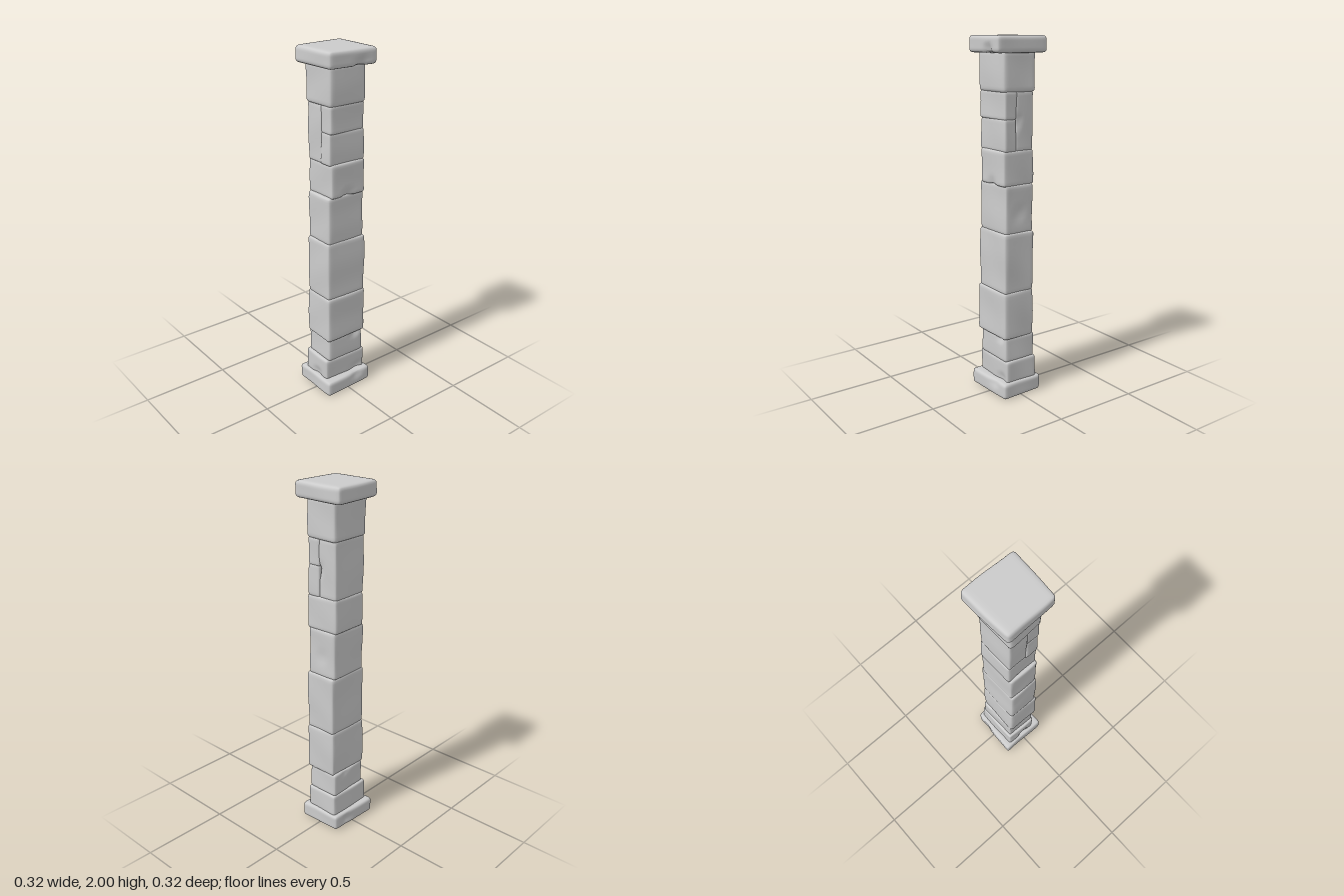
import * as THREE from 'three';
import { mergeVertices } from 'three/addons/utils/BufferGeometryUtils.js';

// Small seeded generator for the hand-cut irregularity
function seeded(seed) {
  let s = seed * 7919 + 13;
  return () => ((s = (s * 16807) % 2147483647) / 2147483647) * 2 - 1;
}

// Worn stone: rounded box, corners shifted in plan, gently uneven faces, optional chips.
// x, y, z are [min, max]; corners are [dx, dz] for -x-z, +x-z, +x+z, -x+z; chips are [x, y, z, radius, depth].
function stoneGeometry({ x, y, z, r = 0.016, corners, chips = [], rough = 0.003 }, seed) {
  const rnd = seeded(seed);
  for (let i = 0; i < 5; i++) rnd();
  const lo = new THREE.Vector3(x[0], y[0], z[0]);
  const hi = new THREE.Vector3(x[1], y[1], z[1]);
  const centre = lo.clone().add(hi).multiplyScalar(0.5);
  const half = hi.clone().sub(lo).multiplyScalar(0.5);
  const inner = half.clone().subScalar(r);
  const shift = corners || [0, 1, 2, 3].map(() => [rnd() * 0.004, rnd() * 0.004]);
  const phase = [0, 1, 2].map(() => rnd() * 3);

  let geo = new THREE.BoxGeometry(2, 2, 2, 16, 16, 16);
  geo.deleteAttribute('normal');
  geo.deleteAttribute('uv');
  geo = mergeVertices(geo, 1e-4);
  const pos = geo.attributes.position;
  const p = new THREE.Vector3(), core = new THREE.Vector3(), n = new THREE.Vector3();
  for (let i = 0; i < pos.count; i++) {
    // Crowd the grid toward the edges, then round them
    p.fromBufferAttribute(pos, i);
    p.set(Math.sin(p.x * Math.PI / 2), Math.sin(p.y * Math.PI / 2), Math.sin(p.z * Math.PI / 2)).multiply(half);
    core.copy(p).clamp(inner.clone().negate(), inner);
    n.copy(p).sub(core).normalize();
    p.copy(core).addScaledVector(n, r);

    // Uneven side faces
    const wave = Math.sin(p.x * 21 + p.y * 13 + phase[0]) + Math.sin(p.y * 24 - p.z * 17 + phase[1])
      + Math.sin(p.z * 25 + p.x * 11 + phase[2]);
    p.x += n.x * wave * rough / 2;
    p.z += n.z * wave * rough / 2;

    // Skewed plan
    const u = (p.x / half.x + 1) / 2, w = (p.z / half.z + 1) / 2;
    const weight = [(1 - u) * (1 - w), u * (1 - w), u * w, (1 - u) * w];
    weight.forEach((k, c) => { p.x += k * shift[c][0]; p.z += k * shift[c][1]; });
    p.add(centre);

    // Chips pressed in against the surface
    for (const [cx, cy, cz, radius, depth] of chips) {
      const d = Math.hypot(p.x - cx, p.y - cy, p.z - cz) / radius;
      if (d < 1) p.addScaledVector(n, -depth * (1 - d * d) ** 2);
    }
    pos.setXYZ(i, p.x, p.y, p.z);
  }
  geo.computeVertexNormals();
  return geo;
}

export function createModel() {
  const group = new THREE.Group();
  group.name = 'stonePillar';
  const material = new THREE.MeshStandardMaterial({ color: 0xcccccc });

  const stones = {
    // Slabs at both ends
    baseSlab: {
      x: [-0.157, 0.157], y: [0, 0.092], z: [-0.147, 0.137], r: 0.02,
      corners: [[0, -0.002], [-0.008, 0.012], [0.002, -0.012], [0, 0]],
      chips: [[0.06, 0.08, 0.137, 0.05, 0.012], [0.06, 0.04, -0.145, 0.05, 0.012]],
    },
    capSlab: {
      x: [-0.16, 0.155], y: [1.91, 2], z: [-0.155, 0.153], r: 0.023,
      corners: [[0, 0.009], [0, -0.008], [-0.007, 0.008], [0.006, -0.007]],
      chips: [[0.045, 1.925, 0.155, 0.05, 0.018]],
    },
    // Shaft courses, bottom to top
    footCourse: {
      x: [-0.138, 0.136], y: [0.08, 0.215], z: [-0.112, 0.092],
      chips: [[0.08, 0.1, 0.09, 0.05, 0.012], [-0.138, 0.1, 0, 0.05, 0.012]],
    },
    secondCourse: {
      x: [-0.122, 0.124], y: [0.207, 0.352], z: [-0.102, 0.092],
      chips: [[0.07, 0.34, 0.092, 0.04, 0.012], [0.03, 0.34, -0.1, 0.04, 0.01]],
    },
    thirdCourse: { x: [-0.13, 0.131], y: [0.344, 0.619], z: [-0.095, 0.101] },
    fourthCourse: { x: [-0.128, 0.131], y: [0.611, 0.954], z: [-0.095, 0.1] },
    fifthCourse: {
      x: [-0.121, 0.119], y: [0.946, 1.219], z: [-0.094, 0.092],
      chips: [[0.12, 1.06, 0, 0.06, 0.005]],
    },
    sixthCourse: {
      x: [-0.108, 0.117], y: [1.211, 1.404], z: [-0.104, 0.102],
      chips: [[0, 1.22, 0.1, 0.05, 0.01]],
    },
    // Split course: two stones in front of one tall stone
    frontLowerStone: { x: [-0.112, 0.117], y: [1.396, 1.571], z: [0.012, 0.094], r: 0.013 },
    frontUpperStone: { x: [-0.109, 0.117], y: [1.565, 1.716], z: [0.016, 0.094], r: 0.013 },
    backTallStone: {
      x: [-0.112, 0.114], y: [1.396, 1.716], z: [-0.1, 0.022], r: 0.014,
      chips: [[0.114, 1.55, 0.02, 0.05, 0.012]],
    },
    neckCourse: { x: [-0.121, 0.121], y: [1.708, 1.925], z: [-0.1, 0.102], r: 0.02 },
  };

  Object.entries(stones).forEach(([name, spec], i) => {
    const mesh = new THREE.Mesh(stoneGeometry(spec, i + 1), material);
    mesh.name = name;
    group.add(mesh);
  });
  return group;
}
